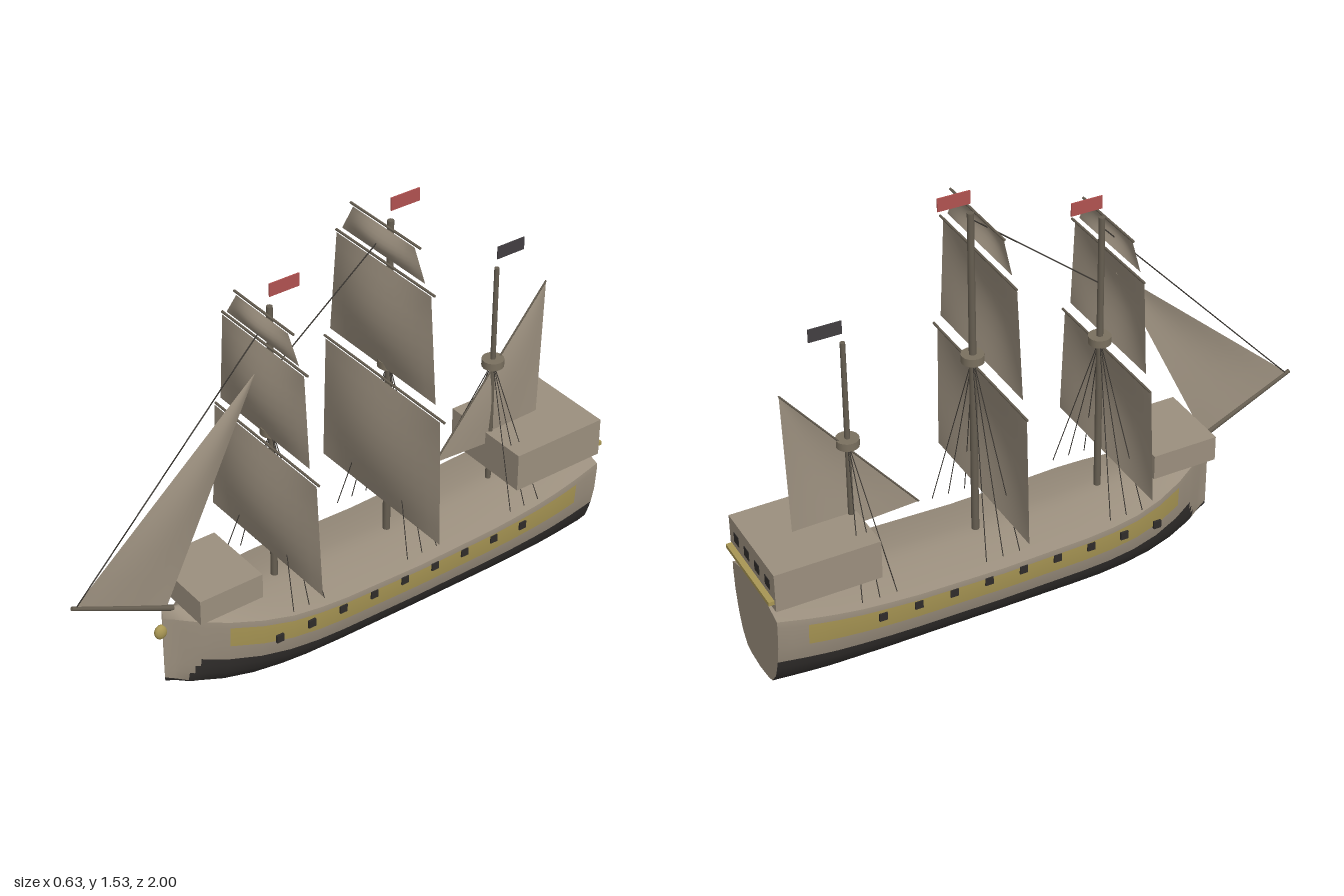
import * as THREE from 'three';

const mat = (name, color, side = THREE.FrontSide) => {
  const m = new THREE.MeshStandardMaterial({ color, side });
  m.name = name;
  return m;
};

// Piecewise-linear lookup in [key, value] pairs with ascending keys
const lookup = (table, k) => {
  let i = 1;
  while (i < table.length - 1 && table[i][0] < k) i++;
  const [k0, a] = table[i - 1], [k1, b] = table[i];
  return a + (b - a) * THREE.MathUtils.clamp((k - k0) / (k1 - k0), 0, 1);
};

// Hull lines along z, and the section width up the side (v: 0 keel, 0.88 rail, 1 deck crown)
const BEAM = [[-0.98, 0.175], [-0.88, 0.185], [-0.78, 0.192], [-0.6, 0.197], [0.1, 0.196], [0.2, 0.193],
  [0.3, 0.182], [0.4, 0.157], [0.5, 0.115], [0.58, 0.07], [0.62, 0.043], [0.65, 0.02], [0.68, 0.003]];
const SHEER = [[-0.98, 0.36], [-0.85, 0.335], [-0.7, 0.312], [-0.5, 0.295], [-0.2, 0.286], [0.1, 0.294],
  [0.3, 0.308], [0.5, 0.333], [0.68, 0.36]];
const KEEL = [[-0.98, 0.014], [-0.8, 0.006], [0.2, 0.004], [0.4, 0.01], [0.5, 0.018], [0.6, 0.036], [0.68, 0.07]];
const SECTION = [[0, 0], [0.02, 0.4], [0.05, 0.57], [0.17, 0.75], [0.28, 0.83], [0.38, 0.89], [0.57, 0.965],
  [0.81, 1], [0.88, 0.99]];
const RAIL = 0.88;

const hullPoint = (s, z) => {
  const v = Math.abs(s), low = lookup(KEEL, z);
  return [Math.sign(s) * lookup(SECTION, v) * lookup(BEAM, z), low + (lookup(SHEER, z) - low) * v, z];
};
// Cambered deck from rail to rail, t from -1 to 1
const deckPoint = (t, z) => {
  const [x, y] = hullPoint(RAIL, z);
  return [x * t, y + (lookup(SHEER, z) - y) * (1 - Math.abs(t) ** 1.5), z];
};

// Rectangular sheet whose vertices follow f(u, v)
function sheet(nu, nv, f) {
  const g = new THREE.PlaneGeometry(1, 1, nu, nv), p = g.attributes.position;
  for (let i = 0; i < p.count; i++) p.setXYZ(i, ...f(p.getX(i) + 0.5, p.getY(i) + 0.5));
  g.computeVertexNormals();
  return g;
}

export function createModel() {
  const model = new THREE.Group();
  model.name = 'sailingShip';
  const wood = mat('hullWood', 0x9b8f7e, THREE.DoubleSide);
  const canvas = mat('sailCanvas', 0x9c907f, THREE.DoubleSide);
  const black = mat('blackBottom', 0x322f2d, THREE.DoubleSide);
  const gold = mat('goldTrim', 0xa89654, THREE.DoubleSide);
  const spar = mat('sparWood', 0x665e51);
  const platform = mat('platformWood', 0x7a705f);
  const rope = mat('rope', 0x3c3833);
  const dark = mat('portDark', 0x2f2c2a);
  const red = mat('flagRed', 0xb05250);
  const navy = mat('flagDark', 0x423e41);

  const add = (name, geometry, material, x = 0, y = 0, z = 0) => {
    const m = new THREE.Mesh(geometry, material);
    m.name = name;
    m.position.set(x, y, z);
    model.add(m);
    return m;
  };
  const box = (name, material, size, at) => add(name, new THREE.BoxGeometry(...size), material, ...at);
  const rod = (name, material, a, b, r0, r1 = r0, sides = 8) => {
    const A = new THREE.Vector3(...a), d = new THREE.Vector3(...b).sub(A);
    const m = add(name, new THREE.CylinderGeometry(r1, r0, d.length(), sides), material);
    m.position.copy(A).addScaledVector(d, 0.5);
    m.quaternion.setFromUnitVectors(new THREE.Vector3(0, 1, 0), d.normalize());
  };

  // Hull skin: one sheet from rail to rail, coloured by cell
  const zs = [-0.98, -0.93, -0.88, -0.83, -0.78, -0.7, -0.6, -0.5, -0.4, -0.3, -0.2, -0.1, 0, 0.1, 0.15, 0.2, 0.25,
    0.3, 0.35, 0.4, 0.45, 0.5, 0.54, 0.565, 0.58, 0.595, 0.61, 0.63, 0.65, 0.68];
  const half = SECTION.map((e) => e[0]);
  const ss = [...half.slice(1).reverse().map((v) => -v), ...half];
  const nz = zs.length - 1, ns = ss.length - 1;
  const skin = sheet(nz, ns, (u, v) => hullPoint(ss[Math.round(v * ns)], zs[Math.round(u * nz)]));
  const waterline = [[0.565, 0.38], [0.62, 0.06]];
  for (let row = 0; row < ns; row++) {
    for (let col = 0; col < nz; col++) {
      const v = Math.abs(ss[ns - row] + ss[ns - row - 1]) / 2, z = (zs[col] + zs[col + 1]) / 2;
      const isGold = v > 0.57 && v < 0.81 && z < 0.5 && z > -0.88;
      skin.addGroup((row * nz + col) * 6, 6, v < lookup(waterline, z) ? 1 : isGold ? 2 : 0);
    }
  }
  add('hull', skin, [wood, black, gold]);
  add('deck', sheet(12, nz, (u, v) => deckPoint(2 * u - 1, zs[Math.round((1 - v) * nz)])), wood);

  // Transom outline: up one side, over the deck camber, down the other
  const outline = ss.map((s) => hullPoint(s, -0.98));
  for (let t = 0.8; t > -0.9; t -= 0.2) outline.push(deckPoint(t, -0.98));
  const transom = new THREE.ShapeGeometry(new THREE.Shape(outline.map(([x, y]) => new THREE.Vector2(x, y))));
  add('transom', transom.rotateY(Math.PI), wood, 0, 0, -0.98);

  // Castles, stern gallery and figurehead
  box('forecastle', wood, [0.27, 0.09, 0.235], [0, 0.405, 0.505]);
  box('aftcastle', wood, [0.35, 0.14, 0.36], [0, 0.43, -0.8]);
  box('galleryRail', gold, [0.335, 0.014, 0.02], [0, 0.392, -0.99]);
  for (const x of [-0.12, -0.04, 0.04, 0.12]) box('sternWindow', dark, [0.036, 0.036, 0.004], [x, 0.44, -0.98]);
  add('figurehead', new THREE.SphereGeometry(0.024, 16, 12), gold, 0, 0.275, 0.688).scale.set(0.65, 1.1, 0.95);

  // Gun ports
  for (const side of [-1, 1]) {
    for (let i = 0; i < 9; i++) box('gunPort', dark, [0.008, 0.028, 0.028], [side * 0.196, 0.223, 0.367 - i * 0.125]);
  }

  // Square sail hung under its yard, bellied forward
  const squareSail = (z, top, bottom, wTop, wBottom, yard) => {
    const belly = Math.min(0.04, 0.28 * (top - bottom));
    add('squareSail', sheet(12, 8, (u, v) => [
      (2 * u - 1) * (wBottom + (wTop - wBottom) * v),
      bottom + (top - bottom) * v,
      z + belly * Math.sin(Math.PI * u) * Math.sin(Math.PI * v),
    ]), canvas);
    rod('yard', spar, [-yard, top + 0.004, z - 0.006], [yard, top + 0.004, z - 0.006], 0.0042);
  };

  // Masts with platform, shrouds, flag and square sails: [top, bottom, half widths, half yard]
  const masts = [
    { z: 0.25, top: 1.32, r: 0.012, deck: 0.3, platform: 0.875, flag: red, sails: [
      [0.823, 0.42, 0.275, 0.305, 0.28], [1.192, 0.87, 0.215, 0.24, 0.225], [1.302, 1.215, 0.135, 0.19, 0.155]] },
    { z: -0.205, top: 1.46, r: 0.013, deck: 0.28, platform: 0.947, flag: red, sails: [
      [0.887, 0.42, 0.3, 0.315, 0.315], [1.315, 0.94, 0.24, 0.275, 0.25], [1.446, 1.345, 0.155, 0.21, 0.175]] },
    { z: -0.64, top: 1.135, r: 0.01, deck: 0.3, platform: 0.775, flag: navy, sails: [] },
  ];
  for (const m of masts) {
    rod('mast', spar, [0, m.deck, m.z], [0, m.top, m.z], m.r, m.r * 0.85, 12);
    add('mastPlatform', new THREE.CylinderGeometry(0.038, 0.038, 0.027, 16), platform, 0, m.platform, m.z);
    box('flag', m.flag, [0.004, 0.045, 0.11], [0, m.top + 0.055, m.z - 0.055]);
    for (const side of [-1, 1]) {
      for (const dz of [-0.06, 0, 0.06]) {
        rod('shroud', rope, [side * 0.192, 0.3, m.z + dz], [0, m.platform, m.z], 0.0016, 0.0016, 5);
      }
    }
    for (const s of m.sails) squareSail(m.z + 0.028, ...s);
  }

  // Triangular sail with corners a, b, c in [y, z], bellied sideways
  const triangleSail = (name, a, b, c, belly) => add(name, sheet(8, 8, (u, v) => {
    const mix = (i) => a[i] + (b[i] + (c[i] - b[i]) * u - a[i]) * v;
    return [belly * Math.sin(Math.PI * u) * Math.sin(Math.PI * v), mix(0), mix(1)];
  }), canvas);
  triangleSail('jib', [1.105, 0.305], [0.515, 0.985], [0.355, 0.665], 0.015);
  triangleSail('lateenSail', [1.01, -0.855], [0.465, -0.405], [0.44, -0.84], 0.012);
  rod('lateenYard', spar, [0, 0.465, -0.405], [0, 1.01, -0.855], 0.003);
  rod('bowsprit', spar, [0, 0.35, 0.64], [0, 0.517, 0.997], 0.01, 0.007);
  rod('foreStay', rope, [0, 0.515, 0.98], [0, 1.285, 0.25], 0.0022, 0.0022, 5);
  rod('mainStay', rope, [0, 1.08, 0.25], [0, 1.44, -0.205], 0.0022, 0.0022, 5);

  return model;
}
